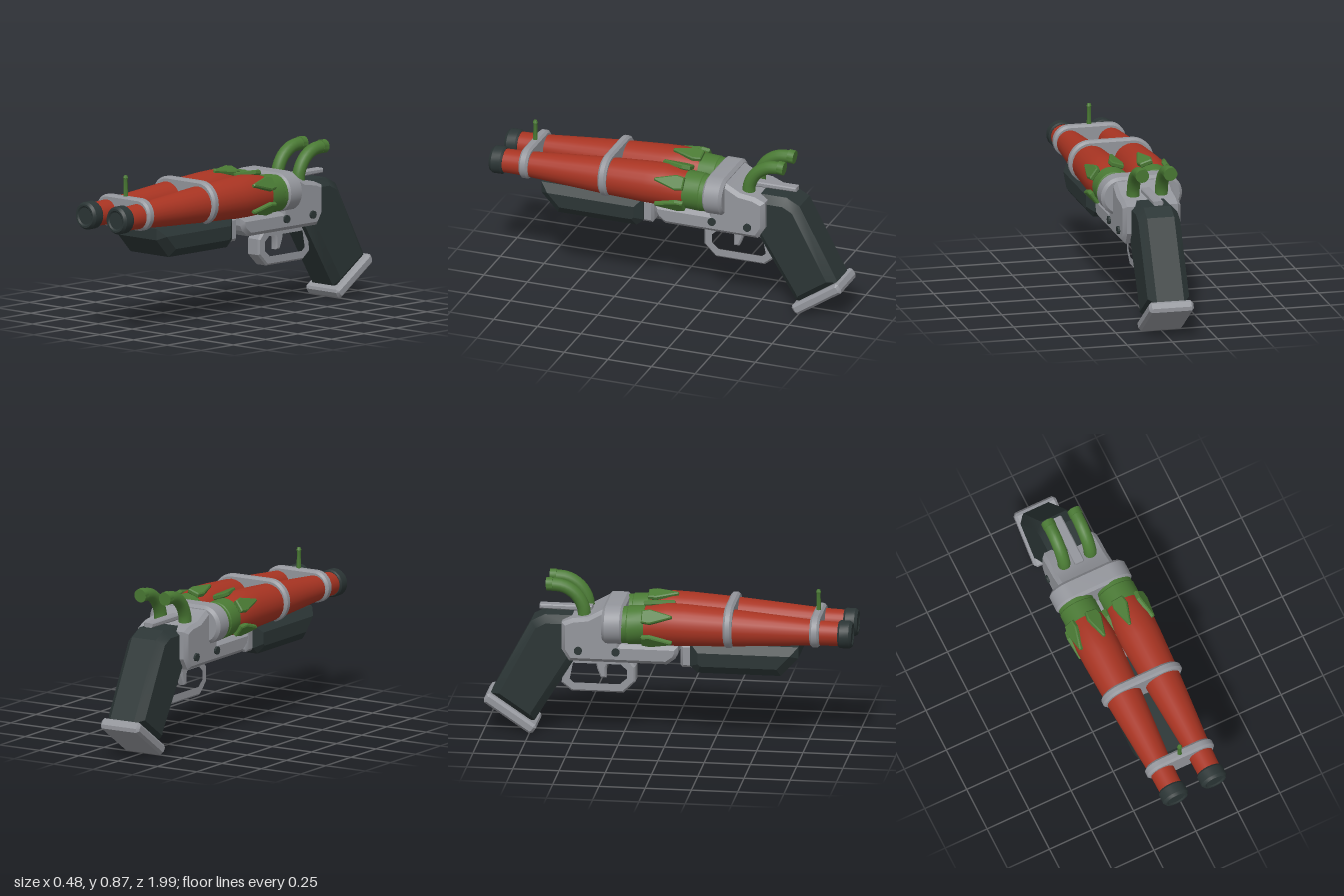
import * as THREE from 'three';
import { toCreasedNormals } from 'three/addons/utils/BufferGeometryUtils.js';

const mat = (name, color) => Object.assign(new THREE.MeshStandardMaterial({ color }), { name });

// Centre height of the slightly bowed barrels at depth z
const barrelY = (z) => (z > 0 ? 0.655 - 0.018 * z : 0.655 + 0.055 * z);
const BARREL_X = 0.114;

// Shape from [x, y] points
const poly = (pts) => new THREE.Shape(pts.map(([x, y]) => new THREE.Vector2(x, y)));

// Extrusion of full depth d, centred, with chamfers that stay inside the outline
function slab(shape, d, size, thick = size) {
  const g = new THREE.ExtrudeGeometry(shape, {
    depth: d - 2 * thick, bevelEnabled: true, bevelSegments: 1,
    bevelSize: size, bevelThickness: thick, bevelOffset: -size, curveSegments: 12,
  });
  g.translate(0, 0, -(d - 2 * thick) / 2);
  return toCreasedNormals(g, 0.45);
}

// Side profile of [z, y] points, extruded across the width
const side = (shape, width, size, thick) => slab(shape, width, size, thick).rotateY(-Math.PI / 2);

// Two-lobed plate around both barrels
function stadium(cx, r) {
  const s = new THREE.Shape();
  s.absarc(cx, 0, r, -Math.PI / 2, Math.PI / 2, false);
  s.absarc(-cx, 0, r, Math.PI / 2, Math.PI * 1.5, false);
  s.closePath();
  return s;
}

// Turned part along z from [radius, z] points, following the barrel bow
function turned(pts, segments = 24) {
  const g = new THREE.LatheGeometry(pts.map(([r, z]) => new THREE.Vector2(r, z)), segments);
  g.rotateX(Math.PI / 2);
  const p = g.attributes.position;
  for (let i = 0; i < p.count; i++) p.setY(i, p.getY(i) + barrelY(p.getZ(i)));
  return toCreasedNormals(g, 0.5);
}

export function createModel() {
  const model = new THREE.Group();
  const red = mat('pepper red', 0xa83422);
  const green = mat('stem green', 0x4a7a34);
  const dark = mat('dark grip', 0x2b3535);
  const gray = mat('gray metal', 0x94969c);

  const add = (name, geo, material, x = 0, y = 0, z = 0, parent = model) => {
    const m = new THREE.Mesh(geo, material);
    m.name = name;
    m.position.set(x, y, z);
    parent.add(m);
    return m;
  };

  // Barrels, collars, leaves, muzzle caps and stems, mirrored
  const barrelGeo = turned([[0, -0.15], [0.098, -0.15], [0.108, -0.08], [0.115, 0], [0.113, 0.1],
    [0.101, 0.34], [0.085, 0.57], [0.068, 0.8], [0.064, 0.94], [0, 0.94]]);
  const collarGeo = turned([[0, -0.25], [0.1, -0.25], [0.1, -0.215], [0.104, -0.21], [0.104, -0.12], [0, -0.12]]);
  const capGeo = turned([[0, 0.925], [0.068, 0.925], [0.075, 0.935], [0.075, 0.985], [0.064, 1],
    [0.054, 1], [0.046, 0.994], [0, 0.994]]);
  const leafGeo = slab(poly([[-0.034, -0.13], [0.034, -0.13], [0.042, -0.085], [0.007, 0.035], [-0.007, 0.035], [-0.042, -0.085]]), 0.028, 0.006);
  leafGeo.rotateX(Math.PI / 2).rotateX(-0.06).translate(0, 0.119, 0);

  const stemPath = new THREE.CatmullRomCurve3([[0.64, -0.455], [0.72, -0.46], [0.79, -0.5], [0.832, -0.565], [0.842, -0.652]]
    .map(([y, z]) => new THREE.Vector3(0, y, z)));
  const stemGeo = new THREE.TubeGeometry(stemPath, 14, 0.035, 14);
  const tipGeo = toCreasedNormals(new THREE.CylinderGeometry(0.037, 0.037, 0.035, 14), 0.5).rotateX(Math.PI / 2 - 0.06);

  const pinGeo = toCreasedNormals(new THREE.CylinderGeometry(0.022, 0.022, 0.02, 12), 0.5).rotateZ(Math.PI / 2);

  for (const s of [1, -1]) {
    const barrel = new THREE.Group();
    barrel.name = s > 0 ? 'leftBarrel' : 'rightBarrel';
    barrel.position.x = s * BARREL_X;
    model.add(barrel);
    add('pepperBarrel', barrelGeo, red, 0, 0, 0, barrel);
    add('collar', collarGeo, green, 0, 0, 0, barrel);
    add('muzzleCap', capGeo, dark, 0, 0, 0, barrel);
    for (let i = 0; i < 5; i++) {
      const a = Math.PI / 5 + (i * Math.PI * 2) / 5;
      add('leaf', leafGeo, green, 0, 0.651, 0, barrel).rotation.z = s * (a - Math.PI / 2);
    }
    add('curvedStem', stemGeo, green, s * 0.078, 0, 0);
    add('stemTip', tipGeo, green, s * 0.078, 0.842, -0.642);
    for (const z of [-0.275, -0.478]) add('pin', pinGeo, dark, s * 0.162, 0.5, z);
  }

  // Bands and breech block around the barrels
  add('frontBand', slab(stadium(0.112, 0.087), 0.052, 0.012), gray, 0, 0.648, 0.8);
  add('middleBand', slab(stadium(0.116, 0.118), 0.048, 0.012), gray, 0, 0.658, 0.335);
  add('breechBlock', slab(stadium(0.118, 0.106), 0.115, 0.016), gray, 0, 0.645, -0.29);

  // Front sight
  const sight = new THREE.LatheGeometry([[0.013, 0.72], [0.011, 0.825], [0.014, 0.834], [0.009, 0.847], [0, 0.849]]
    .map(([r, y]) => new THREE.Vector2(r, y)), 8);
  add('frontSight', toCreasedNormals(sight, 0.5), green, 0, 0, 0.8);

  // Receiver
  const receiver = poly([[0.06, 0.54], [0.06, 0.5], [0.045, 0.47], [0, 0.437], [-0.53, 0.437], [-0.57, 0.5],
    [-0.57, 0.65], [-0.51, 0.675], [-0.43, 0.685], [-0.34, 0.735], [-0.25, 0.735], [-0.25, 0.54]]);
  add('receiver', side(receiver, 0.32, 0.02), gray);
  add('rearRail', side(poly([[-0.42, 0.68], [-0.705, 0.685], [-0.705, 0.71], [-0.42, 0.71]]), 0.054, 0.006), gray);

  // Fore-end and its link
  const foreEnd = poly([[0.71, 0.562], [0.71, 0.5], [0.615, 0.398], [0.165, 0.398], [0.125, 0.435], [0.125, 0.562]]);
  add('foreEnd', side(foreEnd, 0.354, 0.045, 0.036), dark);
  add('foreEndLink', side(poly([[0.145, 0.55], [0.145, 0.42], [0.08, 0.42], [0.07, 0.435], [0.07, 0.55]]), 0.27, 0.015), gray);

  // Trigger and guard
  const guard = poly([[-0.24, 0.445], [-0.185, 0.385], [-0.185, 0.3], [-0.25, 0.236], [-0.53, 0.236],
    [-0.585, 0.28], [-0.56, 0.445]]);
  guard.holes.push(new THREE.Path([[-0.26, 0.405], [-0.22, 0.37], [-0.22, 0.315], [-0.265, 0.275], [-0.52, 0.275],
    [-0.55, 0.3], [-0.53, 0.405]].map(([z, y]) => new THREE.Vector2(z, y))));
  add('triggerGuard', side(guard, 0.09, 0.01), gray);
  add('trigger', side(poly([[-0.325, 0.42], [-0.345, 0.37], [-0.345, 0.31], [-0.375, 0.31], [-0.395, 0.36], [-0.405, 0.42]]), 0.045, 0.008), gray);

  // Grip and butt plate
  const grip = poly([[-0.5, 0.67], [-0.67, 0.67], [-0.745, 0.63], [-0.965, 0.215], [-0.75, 0.07],
    [-0.725, 0.075], [-0.495, 0.45]]);
  add('grip', side(grip, 0.23, 0.04), dark);
  const butt = poly([[-0.148, -0.03], [0.148, -0.03], [0.16, -0.012], [0.16, 0.018], [0.148, 0.03], [-0.148, 0.03], [-0.16, 0.018], [-0.16, -0.012]]);
  add('buttPlate', side(butt, 0.246, 0.014), gray, 0, 0.115, -0.855).rotation.x = 0.594;

  return model;
}
